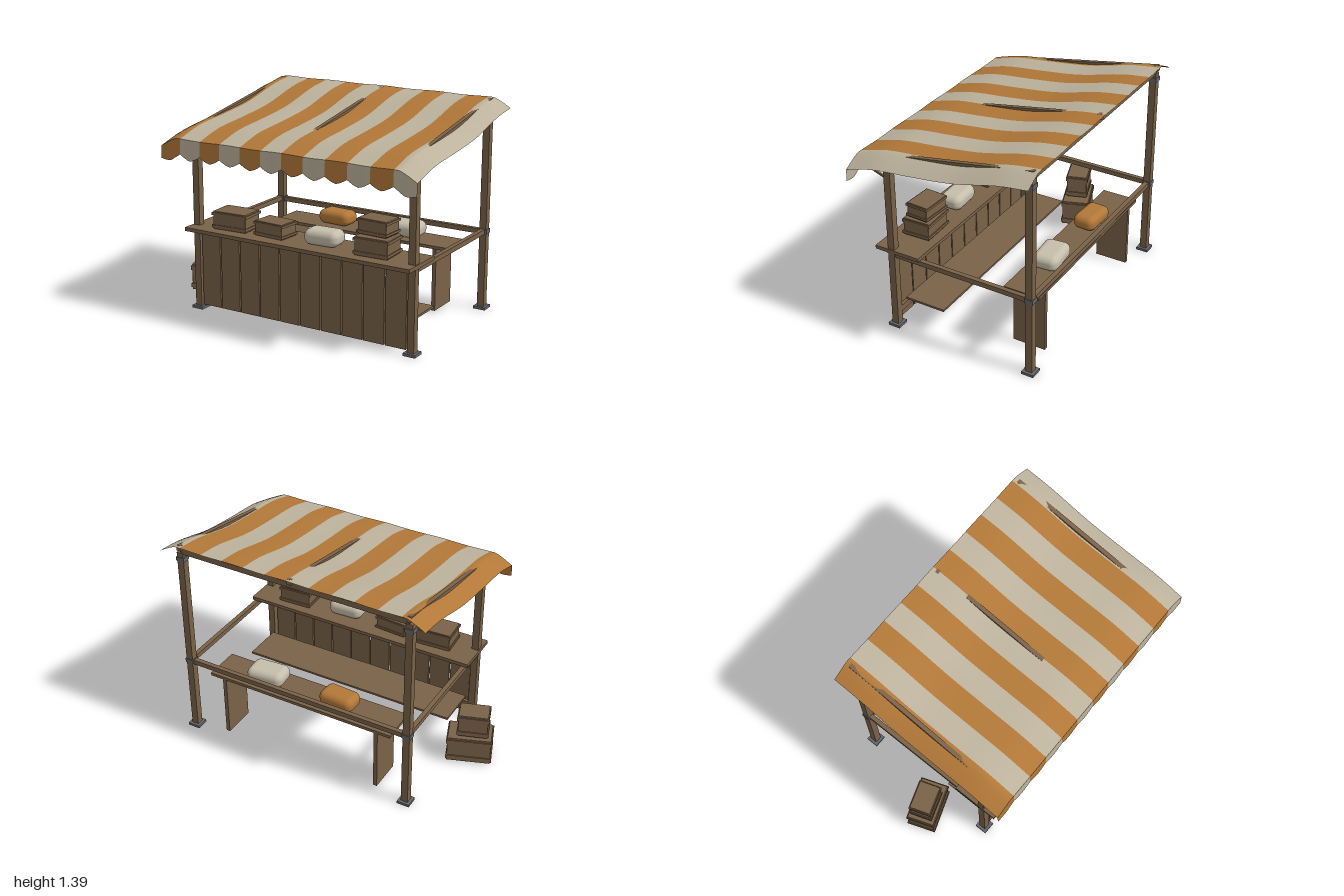
import * as THREE from 'three';
import { RoundedBoxGeometry } from 'three/addons/geometries/RoundedBoxGeometry.js';
import { ParametricGeometry } from 'three/addons/geometries/ParametricGeometry.js';

const mat = (name, color, side = THREE.FrontSide) => {
  const m = new THREE.MeshStandardMaterial({ color, side });
  m.name = name;
  return m;
};

export function createModel() {
  const wood = mat('wood', 0x7a6248);
  const metal = mat('metal', 0x66676e);
  const cream = mat('creamCloth', 0xbdb39d, THREE.DoubleSide);
  const orange = mat('orangeCloth', 0xb27838, THREE.DoubleSide);
  const sackCloth = mat('sackCloth', 0xc6beab);

  const model = new THREE.Group();
  model.name = 'marketStall';
  const CX = 0.095; // middle of the frame
  const SIDES = [CX - 0.78, CX + 0.78];
  const FRONT = 0.4, BACK = -0.56;

  const add = (name, geo, material, x, y, z, parent = model) => {
    const m = new THREE.Mesh(geo, material);
    m.name = name;
    m.position.set(x, y, z);
    parent.add(m);
    return m;
  };
  const box = (name, w, h, d, x, y, z, material = wood, parent = model) =>
    add(name, new THREE.BoxGeometry(w, h, d), material, x, y, z, parent);
  // bar lying in the y-z plane between two [z, y] points
  const bar = (name, x, [z1, y1], [z2, y2], w, h) => {
    const b = box(name, w, h, Math.hypot(z2 - z1, y2 - y1), x, (y1 + y2) / 2, (z1 + z2) / 2);
    b.rotation.x = -Math.atan2(y2 - y1, z2 - z1);
  };

  // posts with feet and collars, side rails, rafters and awning arms
  for (const x of SIDES) {
    for (const [z, top, collars] of [[FRONT, 1.17, [0.55, 1.125]], [BACK, 1.33, [0.525, 1.285]]]) {
      box('post', 0.046, top, 0.046, x, top / 2, z);
      box('foot', 0.082, 0.018, 0.082, x, 0.009, z, metal);
      for (const y of collars) box('collar', 0.056, 0.028, 0.056, x, y, z, metal);
    }
    box('sideRail', 0.03, 0.032, FRONT - BACK, x, 0.525, (FRONT + BACK) / 2);
    bar('awningArm', x, [0.61, 1.115], [0.4, 1.04], 0.012, 0.012);
  }
  for (const x of [SIDES[0], CX, SIDES[1]])
    bar('rafter', x, [0.44, 1.187], [-0.59, 1.367], 0.028, 0.036);
  box('frontBeam', 1.56, 0.036, 0.032, CX, 1.165, FRONT);
  box('backBeam', 1.56, 0.036, 0.032, CX, 1.338, BACK);
  box('backRail', 1.56, 0.032, 0.03, CX, 0.52, BACK);

  // counter with plank front and lower shelf
  box('counterTop', 1.62, 0.024, 0.31, CX, 0.553, 0.355);
  for (let i = 0; i < 10; i++)
    box('frontPlank', 0.141, 0.51, 0.016, CX - 0.675 + i * 0.15, 0.285, 0.408);
  for (const y of [0.11, 0.49]) box('plankRail', 1.52, 0.04, 0.022, CX, y, 0.389);
  box('lowerShelf', 1.5, 0.014, 0.275, CX, 0.195, 0.207);

  // back table on two panel legs
  box('tableTop', 1.3, 0.02, 0.24, CX, 0.441, -0.42);
  for (const s of [-1, 1]) box('tableLeg', 0.026, 0.42, 0.22, CX + s * 0.55, 0.221, -0.425);

  // canopy surface
  const profile = new THREE.CatmullRomCurve3([
    [0.612, 1.167], [0.42, 1.219], [0.15, 1.25], [-0.12, 1.286], [-0.43, 1.362], [-0.615, 1.387],
  ].map(([z, y]) => new THREE.Vector3(0, y, z)));
  const drop = (x) => {
    const d = Math.max(0, Math.abs(x - 0.1) - 0.78) / 0.12;
    return 0.057 * Math.pow(d, 1.2) + 0.004 * (1 - Math.cos((x - CX) * Math.PI * 4 / 0.78)) / 2;
  };
  const STRIPE = 0.15;
  for (let i = 0; i < 12; i++) {
    const x0 = -0.8 + i * STRIPE;
    const cloth = i % 2 ? cream : orange;
    add('canopyStripe', new ParametricGeometry((u, v, p) => {
      profile.getPoint(Math.min(1, Math.max(0, v)), p);
      p.x = x0 + u * STRIPE;
      p.y -= drop(p.x);
    }, 8, 24), cloth, 0, 0, 0);
    // scalloped flap hanging from the front edge
    add('valanceFlap', new ParametricGeometry((u, v, p) => {
      const x = x0 + u * STRIPE;
      const scallop = 0.098 + 0.034 * (1 - Math.pow(Math.abs(2 * u - 1), 1.4));
      const edge = 1.167 - drop(x);
      const low = edge - scallop + drop(x) * 0.35;
      p.set(x, low + (edge - low) * v, 0.612 + 0.004 * (1 - v));
    }, 8, 2), cloth, 0, 0, 0);
  }

  // crates: body with two raised bands
  const crate = (w, h, d, x, y, z, turn) => {
    const g = new THREE.Group();
    g.name = 'crate';
    g.position.set(x, y, z);
    g.rotation.y = turn;
    const r = 0.005;
    add('crateBody', new RoundedBoxGeometry(w, h, d, 1, r), wood, 0, h / 2, 0, g);
    for (const t of [0.17, 0.85])
      box('crateBand', w + 0.012, h * 0.15, d + 0.012, 0, h * t, 0, wood, g);
    model.add(g);
  };
  crate(0.24, 0.118, 0.17, -0.425, 0.566, 0.35, 0.06);
  crate(0.21, 0.098, 0.15, -0.125, 0.566, 0.35, -0.07);
  crate(0.22, 0.118, 0.18, 0.603, 0.566, 0.347, 0.04);
  crate(0.2, 0.1, 0.145, 0.6, 0.69, 0.335, -0.05);
  crate(0.28, 0.18, 0.18, -0.833, 0.008, 0.04, 0.35);
  crate(0.19, 0.16, 0.14, -0.85, 0.197, 0.045, 0.33);

  // sacks: rounded boxes pinched a little at the middle and ends
  const sack = (material, w, h, d, x, y, z, turn) => {
    const geo = new RoundedBoxGeometry(w, h, d, 5, h * 0.42);
    const p = geo.attributes.position;
    for (let i = 0; i < p.count; i++) {
      const k = 1 - 0.12 * Math.pow(Math.abs(p.getX(i)) / (w / 2), 2);
      p.setXYZ(i, p.getX(i), p.getY(i) * k, p.getZ(i) * k);
    }
    add('sack', geo, material, x, y + h / 2, z, model).rotation.y = turn;
  };
  sack(sackCloth, 0.235, 0.105, 0.16, 0.235, 0.564, 0.35, 0.05);
  sack(sackCloth, 0.25, 0.105, 0.18, 0.38, 0.452, -0.42, 0.08);
  sack(orange, 0.24, 0.1, 0.16, -0.14, 0.452, -0.42, -0.06);

  return model;
}
